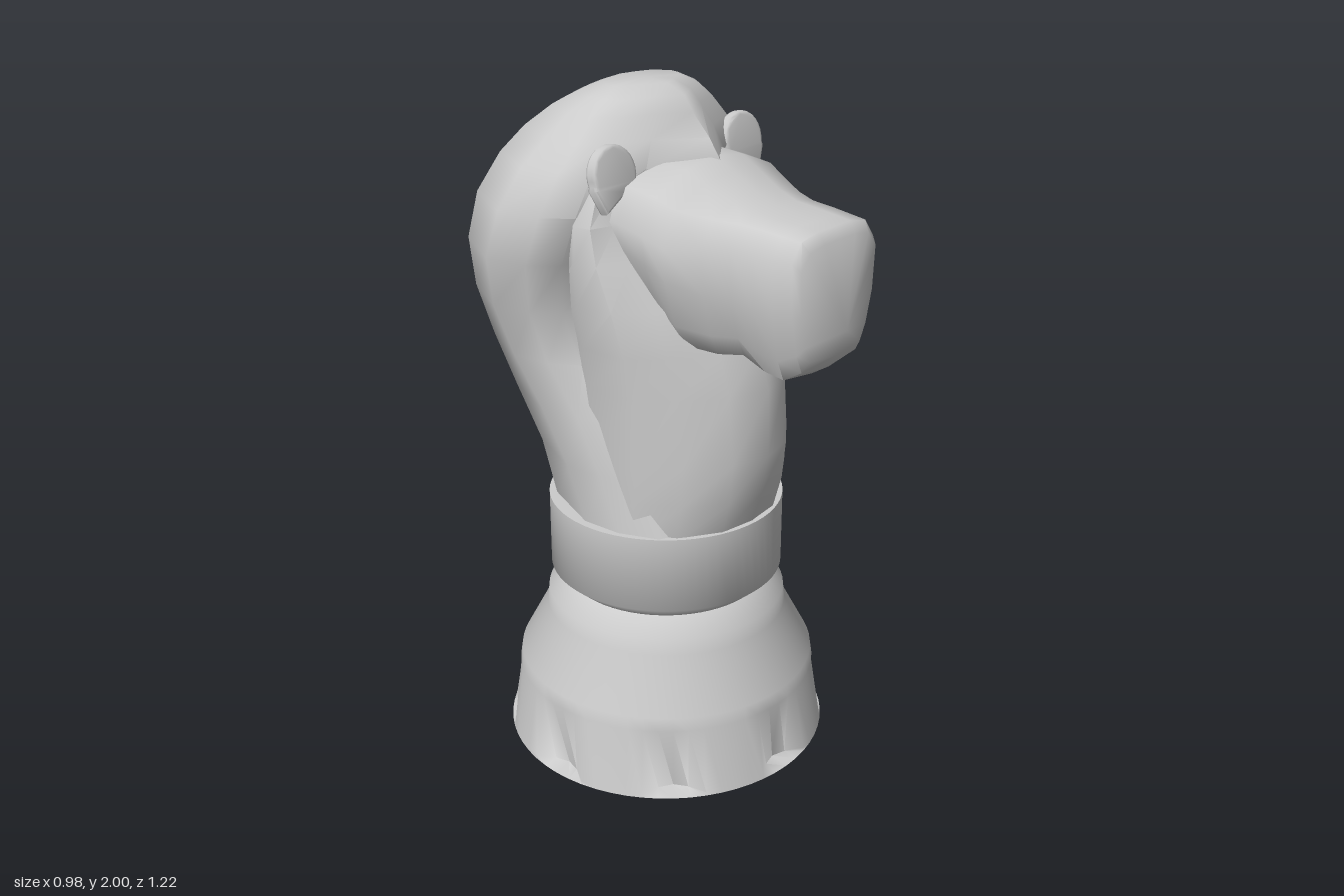
import * as THREE from 'three';
import { toCreasedNormals } from 'three/addons/utils/BufferGeometryUtils.js';

const material = new THREE.MeshStandardMaterial({ color: 0xcccccc });
const { lerp, smoothstep } = THREE.MathUtils;

function addMesh(parent, name, geometry, crease) {
  const mesh = new THREE.Mesh(toCreasedNormals(geometry, crease), material);
  mesh.name = name;
  parent.add(mesh);
  return mesh;
}

// Half outline (first and last point on x = 0) mirrored into a closed ring.
const mirrorRing = (half) => [...half, ...half.slice(1, -1).reverse().map(([x, y, z]) => [-x, y, z])];

// Skin over closed rings, with a fan cap at each end.
function loft(rings, startTip, endTip) {
  const n = rings[0].length;
  const last = (rings.length - 1) * n;
  const positions = [...rings.flat(), startTip, endTip].flat();
  const start = rings.length * n;
  const index = [];
  for (let j = 0; j < n; j++) {
    const k = (j + 1) % n;
    for (let i = 0; i < last; i += n) {
      index.push(i + j, i + n + j, i + k, i + k, i + n + j, i + n + k);
    }
    index.push(start, j, k, start + 1, last + k, last + j);
  }
  const geometry = new THREE.BufferGeometry();
  geometry.setAttribute('position', new THREE.Float32BufferAttribute(positions, 3));
  geometry.setIndex(index);
  return geometry;
}

// Flared foot and collar, turned, with eight shallow notches at the bottom rim.
function pedestal() {
  const profile = [[0, 0], [0.49, 0], [0.488, 0.01], [0.456, 0.21], [0.45, 0.25], [0.365, 0.41], [0.36, 0.46],
    [0.305, 0.51], [0.35, 0.55], [0.35, 0.78], [0, 0.78]];
  const geometry = new THREE.LatheGeometry(profile.map(([r, y]) => new THREE.Vector2(r, y)), 64);
  const p = geometry.attributes.position;
  for (let i = 0; i < p.count; i++) {
    const column = Math.floor(i / profile.length) % 8;
    if (i % profile.length === 2 && (column <= 1 || column === 7)) {
      const scale = column === 0 ? 0.89 : 0.92;
      p.setX(i, p.getX(i) * scale);
      p.setZ(i, p.getZ(i) * scale);
    }
  }
  return geometry.translate(0, 0, -0.03);
}

// Mane: y, half width, back z, side front z, centre front z, angularity of the outline.
const maneSections = [
  [0.76, 0.325, -0.35, 0.27, 0.3, 0], [0.94, 0.335, -0.4, 0.19, 0.2, 0],
  [1.1, 0.355, -0.5, 0.1, 0.1, 0.3], [1.25, 0.375, -0.57, -0.04, -0.04, 0.6],
  [1.4, 0.415, -0.61, -0.1, -0.1, 0.9], [1.55, 0.45, -0.61, -0.08, -0.08, 1],
  [1.69, 0.44, -0.575, -0.03, 0, 1], [1.8, 0.375, -0.515, -0.01, 0.18, 0.9],
  [1.87, 0.3, -0.455, 0, 0.13, 0.7], [1.93, 0.24, -0.36, -0.01, 0.07, 0.5],
  [1.97, 0.185, -0.27, -0.02, 0.04, 0.3], [1.995, 0.13, -0.2, -0.06, -0.02, 0.2],
];
const angular = [[0, 0], [0.36, 0.165], [0.78, 0.27], [1, 0.62], [0.94, 0.86], [0.8, 1], [0.42, 1]];
const rounded = [[0, 0], [0.4, 0.05], [0.76, 0.18], [1, 0.5], [0.97, 0.7], [0.82, 0.88], [0.42, 0.97]];
function mane() {
  const rings = maneSections.map(([y, w, back, side, centre, a]) => {
    const half = angular.map(([ax, at], i) => {
      const x = lerp(rounded[i][0], ax, a);
      const t = lerp(rounded[i][1], at, a);
      const push = i === 6 ? (centre - side) * 0.3 : 0;
      return [x * w, y, back + (side - back) * t + push];
    });
    return mirrorRing([...half, [0, y, centre]]);
  });
  return loft(rings, [0, 0.76, -0.03], [0, 2, -0.1]);
}

// Throat and cheeks: y, half width, front z, hollowness beside the middle ridge.
const throatSections = [
  [0.76, 0.3, 0.3, 0], [0.88, 0.305, 0.34, 0.2], [1.0, 0.31, 0.36, 0.5], [1.2, 0.32, 0.355, 0.9],
  [1.32, 0.335, 0.32, 0.8], [1.45, 0.355, 0.25, 0.4], [1.57, 0.365, 0.13, 0], [1.67, 0.36, 0.06, 0],
  [1.76, 0.31, 0.01, 0],
];
function throat() {
  const rings = throatSections.map(([y, w, front, hollow]) => mirrorRing([
    [0, y, -0.2], [w * 0.7, y, -0.2], [w, y, -0.03], [w * 0.97, y, front * 0.35],
    [w * lerp(0.76, 0.72, hollow), y, front * lerp(0.72, 0.62, hollow)],
    [w * 0.38, y, front * lerp(0.95, 0.88, hollow)], [0, y, front],
  ]));
  return loft(rings, [0, 0.76, 0], [0, 1.76, -0.1]);
}

// Head: z, half width, top y, bottom y, from the brow to the end of the muzzle.
const headSections = [
  [-0.08, 0.28, 1.8, 1.45], [0.06, 0.29, 1.83, 1.42], [0.15, 0.29, 1.825, 1.38], [0.21, 0.275, 1.795, 1.33],
  [0.3, 0.225, 1.75, 1.32], [0.37, 0.192, 1.727, 1.33], [0.44, 0.186, 1.72, 1.3], [0.5, 0.18, 1.715, 1.29],
  [0.555, 0.172, 1.71, 1.325], [0.575, 0.158, 1.68, 1.36],
];
function head() {
  const rings = headSections.map(([z, w, top, bottom]) => {
    const h = top - bottom;
    const brow = 1 - smoothstep(z, 0.15, 0.42); // the brow is rounder than the muzzle
    return mirrorRing([
      [0, top, z], [w * 0.4, top - h * 0.04 * brow, z], [w * lerp(0.78, 0.82, brow), top - h * lerp(0.03, 0.15, brow), z],
      [w, top - h * lerp(0.16, 0.36, brow), z], [w * 0.96, top - h * 0.54, z],
      [w * 0.82, bottom + h * 0.18, z], [w * 0.68, bottom + h * 0.04, z], [0, bottom, z],
    ]);
  });
  return loft(rings, [0, 1.6, -0.08], [0, 1.44, 0.61]);
}

// Thin round ear with a tapered lower outer corner.
function ear() {
  const shape = new THREE.Shape();
  shape.moveTo(0.045, -0.085);
  shape.lineTo(0.07, -0.03);
  shape.absarc(0, 0, 0.07, -0.3, Math.PI + 0.4, false);
  shape.lineTo(-0.02, -0.05);
  return new THREE.ExtrudeGeometry(shape, {
    depth: 0.016, bevelThickness: 0.01, bevelSize: 0.01, bevelSegments: 2, curveSegments: 8,
  }).translate(0, 0, -0.008);
}

export function createModel() {
  const model = new THREE.Group();
  model.name = 'lionPiece';
  addMesh(model, 'pedestal', pedestal(), 1.4);
  addMesh(model, 'mane', mane(), 1.0);
  addMesh(model, 'throat', throat(), 1.0);
  addMesh(model, 'head', head(), 1.0);
  for (const side of [-1, 1]) {
    const mesh = addMesh(model, side > 0 ? 'leftEar' : 'rightEar', ear(), 0.9);
    mesh.position.set(side * 0.262, 1.8, 0.018);
    mesh.rotation.x = -0.2;
    mesh.scale.x = side;
  }
  return model;
}
